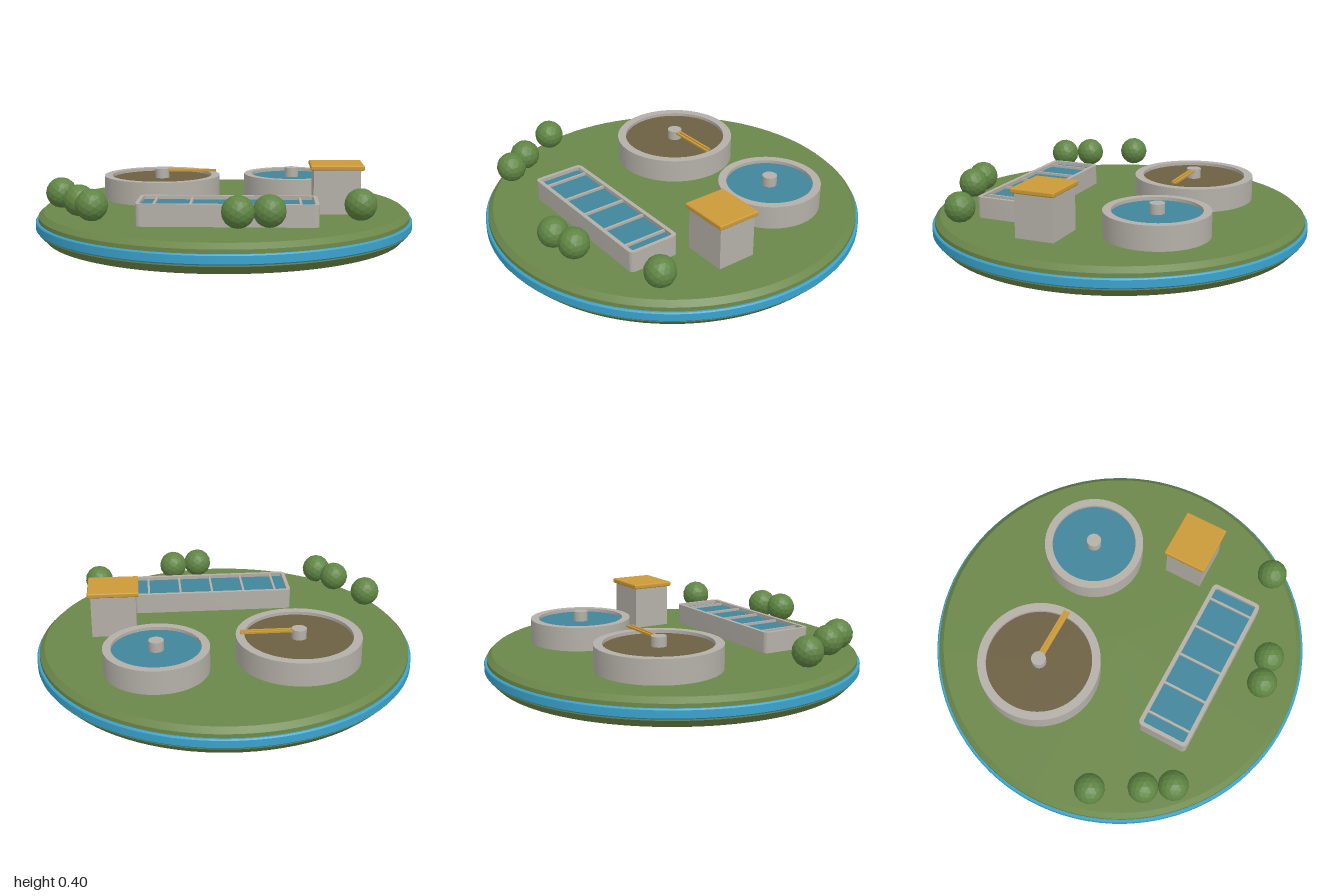
import * as THREE from 'three';
import { toCreasedNormals } from 'three/addons/utils/BufferGeometryUtils.js';
import { RoundedBoxGeometry } from 'three/addons/geometries/RoundedBoxGeometry.js';

const GROUND = 0.145;

export function createModel() {
  const group = new THREE.Group();
  const mat = (name, color, flatShading = false) => {
    const m = new THREE.MeshStandardMaterial({ color, flatShading });
    m.name = name;
    return m;
  };
  const grass = mat('grass', 0x6b874a);
  const blue = mat('bandBlue', 0x3aa3cc);
  const concrete = mat('concrete', 0xb4b0a8);
  const water = mat('water', 0x41859b);
  const sludge = mat('sludge', 0x6c6042);
  const ochre = mat('ochre', 0xcb9a38);
  const foliage = mat('foliage', 0x5f8543, true);

  const add = (name, geometry, material, x = 0, y = 0, z = 0, parent = group) => {
    const mesh = new THREE.Mesh(geometry, material);
    mesh.name = name;
    mesh.position.set(x, y, z);
    parent.add(mesh);
    return mesh;
  };
  const lathe = (pts, segments = 64) => toCreasedNormals(
    new THREE.LatheGeometry(pts.map(([r, y]) => new THREE.Vector2(r, y)), segments), 0.4);

  // Round island with chamfered edges and a blue band
  add('island', lathe([[0, 0], [0.95, 0], [0.99, 0.042], [0.985, 0.12], [0.958, GROUND], [0, GROUND]], 96), grass);
  add('blueBand', lathe([[0.98, 0.05], [0.995, 0.05], [1, 0.056], [1, 0.094], [0.995, 0.1], [0.98, 0.1]], 96), blue);

  // Round settling tanks with a central hub
  const tank = (name, x, z, outer, inner, fill) => {
    const t = new THREE.Group();
    t.name = name;
    t.position.set(x, 0, z);
    group.add(t);
    add('tankWall', lathe([[outer, GROUND - 0.01], [outer, 0.272], [inner, 0.272], [inner, 0.23]]), concrete, 0, 0, 0, t);
    add('tankSurface', new THREE.CylinderGeometry(inner + 0.005, inner + 0.005, 0.1, 64), fill, 0, 0.205, 0, t);
    add('hub', new THREE.CylinderGeometry(0.039, 0.039, 0.1, 24), concrete, 0, 0.257, 0, t);
    return t;
  };
  const sludgeTank = tank('sludgeTank', -0.36, -0.29, 0.325, 0.28, sludge);
  tank('clarifierTank', 0.373, -0.363, 0.27, 0.228, water);

  // Scraper arm made of twin rails over a thin deck
  for (const side of [-1, 1]) {
    add('scraperRail', new THREE.BoxGeometry(0.27, 0.01, 0.012), ochre, 0.168, 0.298, side * 0.011, sludgeTank);
  }
  add('scraperDeck', new THREE.BoxGeometry(0.27, 0.005, 0.02), ochre, 0.168, 0.293, 0, sludgeTank);

  // Long basin with rounded corners and baffles
  const roundRect = (target, w, d, r) => {
    const x = w / 2, y = d / 2;
    target.moveTo(-x + r, -y);
    target.lineTo(x - r, -y).absarc(x - r, -y + r, r, -Math.PI / 2, 0);
    target.lineTo(x, y - r).absarc(x - r, y - r, r, 0, Math.PI / 2);
    target.lineTo(-x + r, y).absarc(-x + r, y - r, r, Math.PI / 2, Math.PI);
    target.lineTo(-x, -y + r).absarc(-x + r, -y + r, r, Math.PI, Math.PI * 1.5);
    return target;
  };
  const basin = new THREE.Group();
  basin.name = 'longBasin';
  basin.position.set(0.035, 0, 0.463);
  group.add(basin);
  const outline = roundRect(new THREE.Shape(), 0.89, 0.278, 0.025);
  outline.holes.push(roundRect(new THREE.Path(), 0.85, 0.236, 0.012));
  const wall = new THREE.ExtrudeGeometry(outline, { depth: 0.12, bevelEnabled: false, curveSegments: 5 });
  wall.rotateX(-Math.PI / 2);
  add('basinWall', toCreasedNormals(wall, 0.6), concrete, 0, 0.136, 0, basin);
  add('basinWater', new THREE.BoxGeometry(0.855, 0.09, 0.24), water, 0, 0.192, 0, basin);
  for (let i = -2; i <= 2; i++) {
    add('baffle', new THREE.BoxGeometry(0.012, 0.07, 0.238), concrete, i * 0.179, 0.215, 0, basin);
  }

  // Control building with an overhanging flat roof
  add('buildingWalls', new THREE.BoxGeometry(0.24, 0.24, 0.21), concrete, 0.588, 0.258, 0.142);
  add('buildingRoof', new RoundedBoxGeometry(0.274, 0.026, 0.238, 2, 0.007), ochre, 0.588, 0.387, 0.143);

  // Faceted round shrubs
  const shrub = new THREE.IcosahedronGeometry(0.079, 2);
  [[-0.825, 0.27], [-0.692, 0.505], [-0.61, 0.635], [0.092, 0.795], [0.238, 0.767], [0.676, 0.577]]
    .forEach(([x, z]) => add('shrub', shrub, foliage, x, 0.256, z));

  return group;
}
